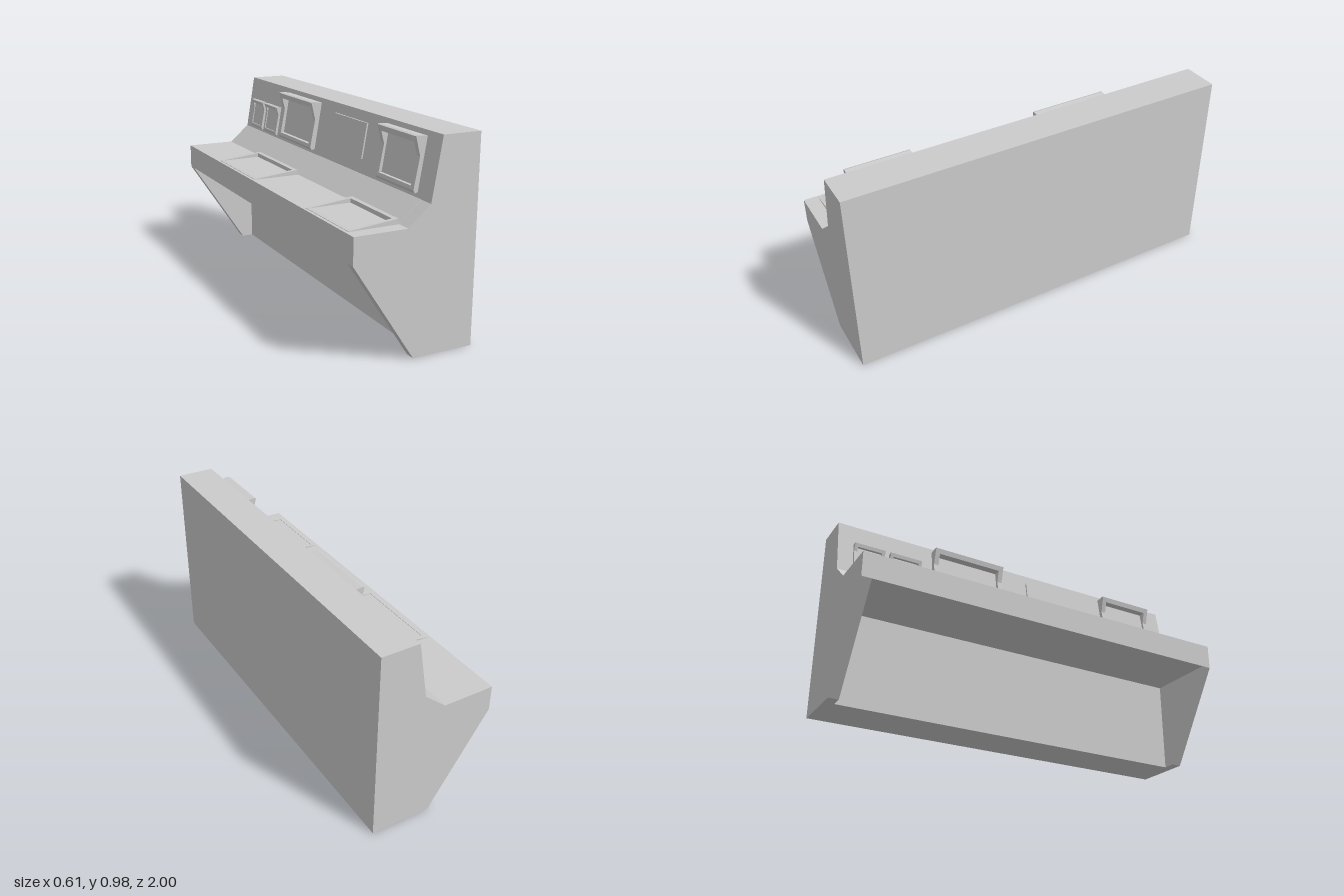
import * as THREE from 'three';

const material = new THREE.MeshStandardMaterial({ color: 0xcccccc, flatShading: true });

// Solid with an x-y outline, running from z0 to z1
function prism(name, outline, z0, z1) {
  const shape = new THREE.Shape(outline.map(([x, y]) => new THREE.Vector2(x, y)));
  const geometry = new THREE.ExtrudeGeometry(shape, { depth: z1 - z0, bevelEnabled: false });
  geometry.translate(0, 0, z0);
  const mesh = new THREE.Mesh(geometry, material);
  mesh.name = name;
  return mesh;
}

// Point at height y, standing out from the leaning upright panel
const onPanel = (y, out) => [0.065 + (y - 0.69) * 0.172 - out, y];

// Framed monitor: side cheeks that flare into a hood at the top
function monitor(name, z0, z1, bottom, top, mid, depth, hood, rim) {
  const group = new THREE.Group();
  group.name = name;
  const back = -0.005;
  const cheek = [
    onPanel(bottom, back), onPanel(bottom - 0.005, depth * 0.6), onPanel(bottom + 0.008, depth),
    onPanel(mid, depth * 0.85), onPanel(top + 0.002, hood), onPanel(top + 0.006, hood - 0.01),
    onPanel(top, back),
  ];
  const slope = (hood - depth * 0.85) / (top - mid);
  group.add(
    prism('monitorCheek', cheek, z0, z0 + rim),
    prism('monitorCheek', cheek, z1 - rim, z1),
    prism('monitorHood', [
      onPanel(top, back), onPanel(top + 0.006, hood - 0.01), onPanel(top + 0.002, hood),
      onPanel(top - rim, hood - slope * rim), onPanel(top - rim, back),
    ], z0 + rim, z1 - rim),
    prism('monitorSill', [
      onPanel(bottom, back), onPanel(bottom - 0.005, depth * 0.6), onPanel(bottom + 0.008, depth),
      onPanel(bottom + rim, depth), onPanel(bottom + rim, back),
    ], z0 + rim, z1 - rim),
    prism('monitorScreen', [
      onPanel(bottom + rim, back), onPanel(bottom + rim, 0.008),
      onPanel(top - rim, 0.008), onPanel(top - rim, back),
    ], z0 + rim, z1 - rim),
  );
  return group;
}

// Wedge-shaped frame on the desk around a sunken screen
function deskTray(name, z0, z1) {
  const group = new THREE.Group();
  group.name = name;
  const rim = 0.02, front = -0.29, back = -0.05, base = 0.595;
  const rise = (x) => 0.599 + (x - front) * 0.1;
  const bar = (x0, x1) => [[x0, base], [x1, base], [x1, rise(x1)], [x0, rise(x0)]];
  group.add(
    prism('traySide', bar(front, back), z0, z0 + rim),
    prism('traySide', bar(front, back), z1 - rim, z1),
    prism('trayBack', bar(back - rim, back), z0 + rim, z1 - rim),
    prism('trayFront', bar(front, front + rim), z0 + rim, z1 - rim),
    prism('trayScreen', [[front + rim, base], [back - rim, base], [back - rim, 0.6], [front + rim, 0.599]],
      z0 + rim, z1 - rim),
  );
  return group;
}

export function createModel() {
  const model = new THREE.Group();
  model.name = 'controlConsole';

  // Outline shared by the body and the end panels, from back foot to desk edge
  const upper = [[0.305, 0], [0.305, 0.98], [0.115, 0.98], [0.065, 0.69], [-0.045, 0.597],
    [-0.305, 0.597], [-0.305, 0.47]];

  // Body with knee space between the two end panels
  model.add(
    prism('consoleBody', [...upper, [0.062, 0.47], [0.062, 0]], -0.95, 0.95),
    prism('endPanel', [...upper, [0, 0]], -1, -0.95),
    prism('endPanel', [...upper, [0, 0]], 0.95, 1),
  );

  // Thin cover on the sloping strip behind the desk
  model.add(prism('slopeCover', [[-0.045, 0.597], [0.065, 0.69], [0.061, 0.693], [-0.049, 0.599]], -0.02, 0.93));

  // Desk screens
  model.add(deskTray('wideDeskTray', -0.54, -0.05), deskTray('narrowDeskTray', 0.53, 0.93));

  // Upright screens
  model.add(
    monitor('wideMonitor', -0.49, -0.09, 0.715, 0.956, 0.87, 0.028, 0.06, 0.025),
    monitor('squareMonitor', 0.57, 0.89, 0.715, 0.956, 0.87, 0.024, 0.058, 0.025),
    monitor('smallMonitor', -0.92, -0.76, 0.708, 0.86, 0.82, 0.014, 0.03, 0.016),
    monitor('smallMonitor', -0.73, -0.56, 0.708, 0.86, 0.82, 0.014, 0.03, 0.016),
  );

  // Flat display plate
  model.add(prism('displayPlate', [onPanel(0.76, -0.005), onPanel(0.76, 0.008), onPanel(0.93, 0.008),
    onPanel(0.93, -0.005)], 0.08, 0.4));

  return model;
}
